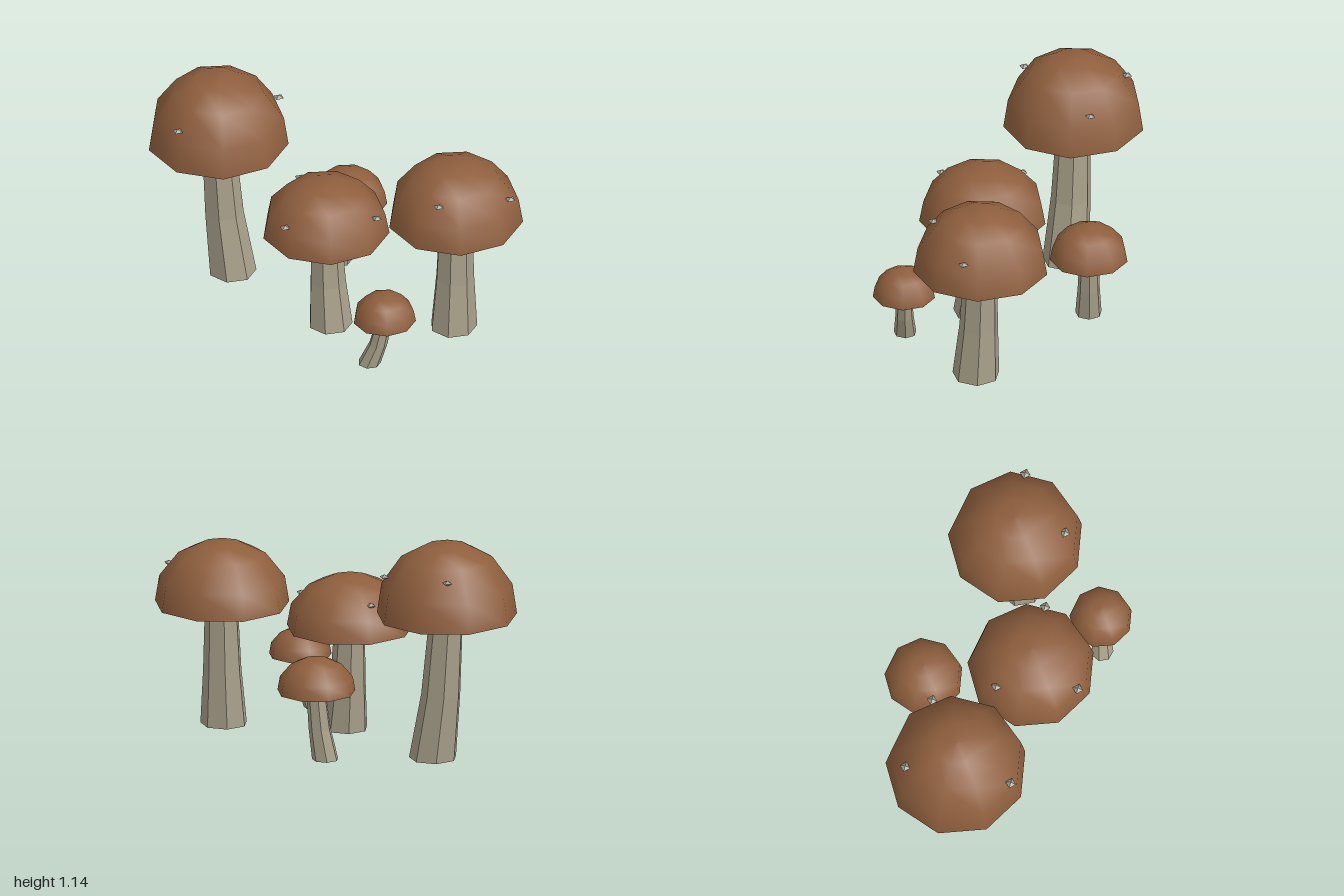
import * as THREE from 'three';

const capBrown = new THREE.MeshStandardMaterial({ color: 0x8f5f3e });
const stemBeige = new THREE.MeshStandardMaterial({ color: 0xa8a08a, side: THREE.DoubleSide });
const gillDark = new THREE.MeshStandardMaterial({ color: 0x5f584b });
const spotGrey = new THREE.MeshStandardMaterial({ color: 0x9c988c });

// Cap outline as fractions of radius and height, rim to crown
const PROFILE = [[1, 0], [0.935, 0.41], [0.65, 0.8], [0.32, 0.97], [0, 1]];

// cap: centre x, z, radius r, rim y, crown top; foot: base centre and radius of the stem
const MUSHROOMS = [
  { x: -0.64, z: -0.045, r: 0.36, y: 0.76, top: 1.14, foot: [-0.557, -0.04, 0.123], neck: 0.088,
    spots: [[-0.785, 1.01, -0.275], [-0.39, 0.975, -0.24], [-0.72, 0.975, 0.26]] },
  { x: 0.67, z: -0.085, r: 0.345, y: 0.635, top: 0.96, foot: [0.671, -0.06, 0.121], neck: 0.086,
    spots: [[0.965, 0.815, -0.115], [0.695, 0.86, 0.165]] },
  { x: 0.06, z: 0.16, r: 0.325, y: 0.54, top: 0.815, foot: [0.098, 0.185, 0.113], neck: 0.08,
    spots: [[-0.145, 0.72, 0.03], [-0.04, 0.685, 0.43], [0.345, 0.685, 0.155]] },
  { x: -0.065, z: -0.37, r: 0.2, y: 0.355, top: 0.53, foot: [-0.107, -0.35, 0.068], neck: 0.05, spots: [] },
  { x: 0.505, z: 0.405, r: 0.16, y: 0.27, top: 0.41, foot: [0.432, 0.43, 0.058], neck: 0.04, spots: [] },
];

function add(group, name, geometry, material) {
  const mesh = new THREE.Mesh(geometry, material);
  mesh.name = name;
  group.add(mesh);
  return mesh;
}

function flat(geometry) {
  const g = geometry.index ? geometry.toNonIndexed() : geometry;
  g.computeVertexNormals();
  return g;
}

// Seven-sided open tube that tapers and bends from its foot to the cap centre
function stemGeometry({ x, z, y, foot, neck }) {
  const g = new THREE.CylinderGeometry(1, 1, 1, 7, 2, true, -Math.PI / 2);
  const p = g.attributes.position;
  for (let i = 0; i < p.count; i++) {
    const level = Math.round((p.getY(i) + 0.5) * 2);
    const t = [0, 0.6, 1][level];
    const r = THREE.MathUtils.lerp(foot[2], neck, t);
    p.setXYZ(i,
      THREE.MathUtils.lerp(foot[0], x, t) + p.getX(i) * r,
      [0, 0.45, 1][level] * y,
      THREE.MathUtils.lerp(foot[1], z, t) + p.getZ(i) * r);
  }
  return flat(g);
}

function makeMushroom(m) {
  const group = new THREE.Group();
  group.name = 'mushroom';
  add(group, 'stem', stemGeometry(m), stemBeige);

  // Nine-sided smooth dome
  const points = PROFILE.map(([r, h]) => new THREE.Vector2(r * m.r, h * (m.top - m.y)));
  add(group, 'cap', new THREE.LatheGeometry(points, 9, -Math.PI / 2), capBrown)
    .position.set(m.x, m.y, m.z);

  // Flat underside of the cap
  add(group, 'capUnderside', new THREE.CircleGeometry(m.r, 9, Math.PI).rotateX(Math.PI / 2), gillDark)
    .position.set(m.x, m.y, m.z);

  // Small flattened diamond spots
  for (const s of m.spots) {
    add(group, 'spot', flat(new THREE.OctahedronGeometry(0.028).scale(1, 0.5, 1)), spotGrey)
      .position.set(...s);
  }
  return group;
}

export function createModel() {
  const model = new THREE.Group();
  model.name = 'mushroomCluster';
  for (const m of MUSHROOMS) model.add(makeMushroom(m));
  return model;
}
